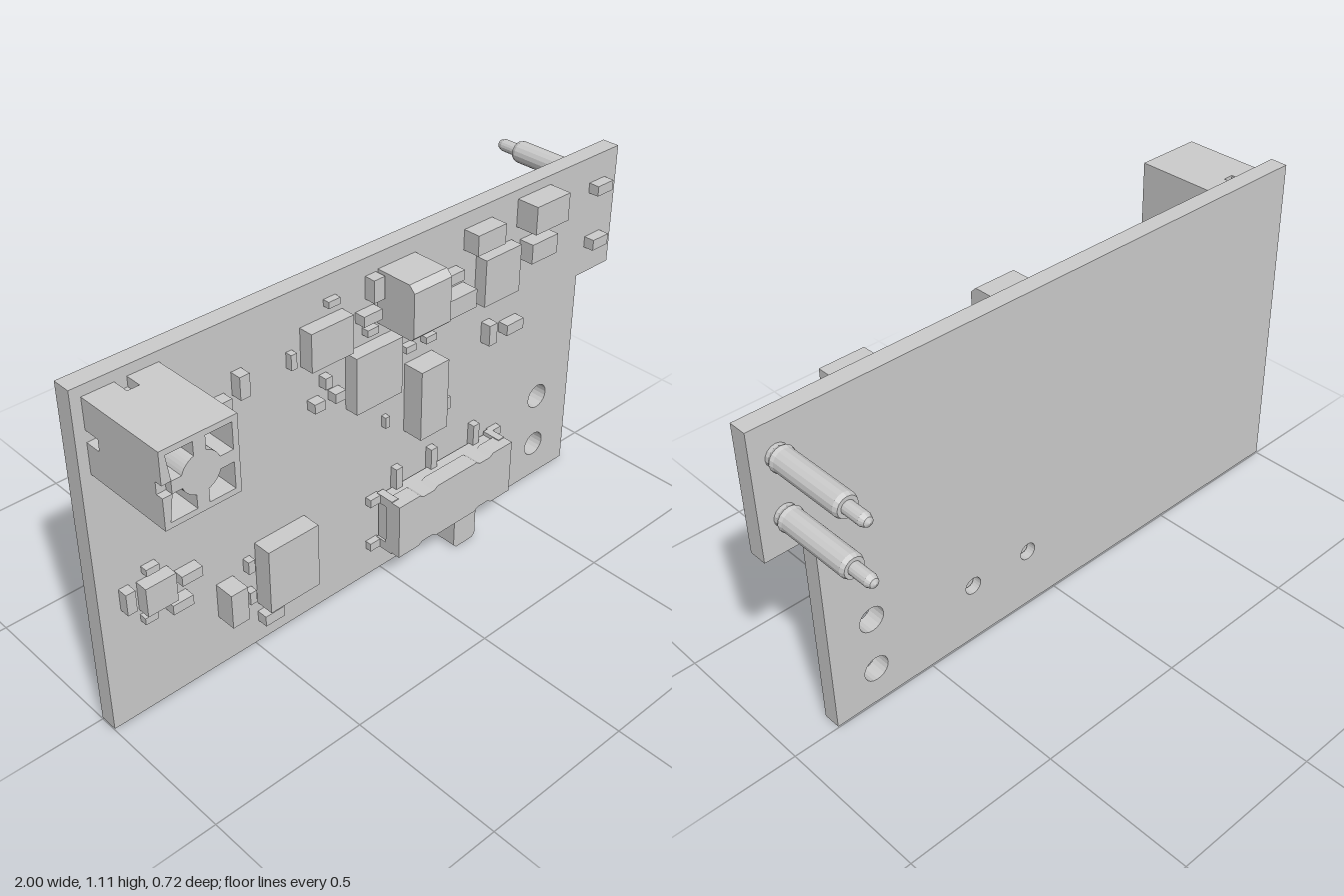
import * as THREE from 'three';

const FRONT = 0.058; // front face of the board

export function createModel() {
  const root = new THREE.Group();
  const mat = new THREE.MeshStandardMaterial({ color: 0xcccccc });
  const flat = new THREE.MeshStandardMaterial({ color: 0xcccccc, flatShading: true });

  const add = (name, geo, material = mat, parent = root) => {
    const m = new THREE.Mesh(geo, material);
    m.name = name;
    parent.add(m);
    return m;
  };
  // Box given by its x, y and z limits
  const block = (name, x0, x1, y0, y1, z1, z0 = FRONT, parent = root) => {
    const m = add(name, new THREE.BoxGeometry(x1 - x0, y1 - y0, z1 - z0), mat, parent);
    m.position.set((x0 + x1) / 2, (y0 + y1) / 2, (z0 + z1) / 2);
    return m;
  };
  const polygon = (pts) => new THREE.Shape(pts.map(([x, y]) => new THREE.Vector2(x, y)));
  const slab = (name, shape, z0, z1, parent = root) => {
    const geo = new THREE.ExtrudeGeometry(shape, { depth: z1 - z0, bevelEnabled: false, curveSegments: 10 });
    geo.translate(0, 0, z0);
    return add(name, geo, mat, parent);
  };
  const group = (name) => {
    const g = new THREE.Group();
    g.name = name;
    root.add(g);
    return g;
  };

  // Circuit board with mounting and locating holes
  const board = polygon([[-1, 0.005], [0.85, 0.005], [0.85, 0.71], [1, 0.71], [1, 1.11], [-1, 1.11]]);
  for (const [x, y, r] of [[0.7, 0.32, 0.042], [0.7, 0.13, 0.042], [0.33, 0.21, 0.029], [0.11, 0.21, 0.029]]) {
    board.holes.push(new THREE.Path().absarc(x, y, r, 0, Math.PI * 2, true));
  }
  slab('board', board, 0, FRONT);

  // Spring contact pins on the back
  const pinProfile = [[0, 0], [0.034, 0], [0.034, -0.012], [0.039, -0.022], [0.036, -0.034], [0.036, -0.262],
    [0.031, -0.275], [0.02, -0.275], [0.02, -0.335], [0.014, -0.35], [0, -0.357]];
  for (const y of [1.007, 0.822]) {
    const geo = new THREE.LatheGeometry(pinProfile.map(([r, z]) => new THREE.Vector2(r, z)).reverse(), 16);
    geo.rotateX(Math.PI / 2);
    add('contactPin', geo, flat).position.set(0.922, y, 0);
  }

  // Square socket: four corner pockets around a round core
  const socket = group('socket');
  const square = (h) => [[-h, -h], [h, -h], [h, h], [-h, h]];
  const H = 0.112, IN = 0.095, ARM = 0.018, R = 0.058;
  const shell = polygon(square(H));
  const a = Math.asin(ARM / R), c = R * Math.cos(a);
  for (let k = 0; k < 4; k++) {
    const p = [[c, ARM], [IN, ARM], [IN, IN], [ARM, IN], [ARM, c]];
    for (let i = 1; i < 6; i++) {
      const t = Math.PI / 2 - a - (i / 6) * (Math.PI / 2 - 2 * a);
      p.push([R * Math.cos(t), R * Math.sin(t)]);
    }
    const q = k * Math.PI / 2;
    shell.holes.push(new THREE.Path(p.map(([x, y]) =>
      new THREE.Vector2(x * Math.cos(q) - y * Math.sin(q), x * Math.sin(q) + y * Math.cos(q)))));
  }
  slab('socketShell', shell, 0.2, 0.335, socket);
  // Front rim, open at the middle of its outer side
  const rim = polygon([[-H, -H], [H, -H], [H, H], [-H, H], [-H, ARM], [-0.085, ARM], [-0.085, -ARM], [-H, -ARM]]);
  rim.holes = shell.holes.map((h) => new THREE.Path(h.getPoints().map((v) =>
    v.clone().set(Math.max(v.x, -0.084 - (Math.abs(v.y) > ARM + 0.001 ? 0.011 : 0)), v.y))));
  slab('socketRim', rim, 0.335, 0.358, socket);
  slab('socketBody', polygon(square(H)), 0.11, 0.2, socket);
  // Base notched in the middle of each side
  const n = H - 0.03;
  slab('socketBase', polygon([[-H, -H], [-ARM, -H], [-ARM, -n], [ARM, -n], [ARM, -H], [H, -H],
    [H, -ARM], [n, -ARM], [n, ARM], [H, ARM], [H, H], [ARM, H], [ARM, n], [-ARM, n], [-ARM, H], [-H, H],
    [-H, ARM], [-n, ARM], [-n, -ARM], [-H, -ARM]]), FRONT, 0.11, socket);
  socket.position.set(-0.857, 0.967, 0);

  // Larger chips and components: x0, x1, y0, y1, front z
  [
    [-0.30, -0.15, 0.87, 0.99, 0.105], [-0.14, 0.035, 0.66, 0.845, 0.105],
    [0.09, 0.20, 0.475, 0.71, 0.13], [0.375, 0.525, 0.80, 0.955, 0.10],
    [-0.488, -0.305, 0.15, 0.37, 0.12], [-0.88, -0.782, 0.365, 0.46, 0.10]
  ].forEach((b) => block('chip', ...b));
  [
    [0.545, 0.688, 0.99, 1.08, 0.135], [0.32, 0.435, 0.995, 1.06, 0.115],
    [0.565, 0.677, 0.877, 0.941, 0.11], [0.207, 0.323, 0.83, 0.89, 0.115],
    [-0.628, -0.57, 0.183, 0.30, 0.125]
  ].forEach((b) => block('capacitor', ...b));

  // Tall inductor with bevelled upper and lower edges
  const coil = polygon([[FRONT, 0.89], [0.19, 0.89], [0.2, 0.9], [0.2, 1.04], [0.18, 1.06], [FRONT, 1.06]]);
  const coilGeo = new THREE.ExtrudeGeometry(coil, { depth: 0.142, bevelEnabled: false });
  coilGeo.rotateY(-Math.PI / 2);
  add('inductor', coilGeo).position.x = 0.124;

  // Small parts: x, y, width, height
  const smallParts = [
    [-0.67, 0.92, 0.036, 0.07], [-0.592, 0.887, 0.065, 0.034], [-0.516, 0.92, 0.033, 0.07],
    [-0.195, 1.033, 0.042, 0.02], [-0.34, 0.912, 0.02, 0.048], [-0.224, 0.797, 0.025, 0.036],
    [-0.262, 0.738, 0.038, 0.03], [-0.187, 0.738, 0.038, 0.03], [-0.068, 0.941, 0.068, 0.033],
    [-0.056, 0.888, 0.042, 0.022], [0.107, 0.834, 0.068, 0.032], [0.093, 0.77, 0.04, 0.022],
    [0.174, 0.77, 0.042, 0.022], [-0.045, 1.02, 0.04, 0.07], [0.256, 0.94, 0.068, 0.033],
    [0.428, 0.683, 0.033, 0.07], [0.527, 0.67, 0.073, 0.036], [0.007, 0.553, 0.017, 0.037],
    [0.254, 0.508, 0.021, 0.043], [-0.92, 0.432, 0.03, 0.07], [-0.727, 0.412, 0.068, 0.033],
    [-0.84, 0.492, 0.042, 0.022], [-0.858, 0.336, 0.042, 0.022], [-0.763, 0.332, 0.068, 0.032],
    [-0.454, 0.1, 0.07, 0.036], [-0.52, 0.316, 0.023, 0.043], [-0.52, 0.204, 0.023, 0.043],
    [0.91, 1.007, 0.07, 0.033], [0.91, 0.822, 0.07, 0.036]
  ];
  for (const [x, y, w, h] of smallParts) {
    const top = FRONT + Math.min(0.036, Math.min(w, h) * 1.1);
    block('smallPart', x - w / 2, x + w / 2, y - h / 2, y + h / 2, top);
  }

  // Slide switch
  const sw = group('slideSwitch');
  block('switchBody', -0.018, 0.458, 0.125, 0.295, 0.15, 0.065, sw);
  const cover = polygon([[-0.025, 0.115], [0.06, 0.115], [0.075, 0.125], [0.12, 0.125], [0.135, 0.115],
    [0.305, 0.115], [0.32, 0.125], [0.365, 0.125], [0.38, 0.115], [0.465, 0.115], [0.465, 0.305],
    [0.38, 0.305], [0.365, 0.295], [0.32, 0.295], [0.305, 0.305], [0.135, 0.305], [0.12, 0.295],
    [0.075, 0.295], [0.06, 0.305], [-0.025, 0.305]]);
  slab('switchCover', cover, 0.105, 0.163, sw);
  for (const s of [-1, 1]) {
    for (const y of [0.125, 0.292]) {
      const x = 0.22 + s * 0.262;
      block('switchTab', x - 0.022, x + 0.022, y - 0.014, y + 0.014, 0.08, FRONT, sw);
      block('switchLeg', 0.22 + s * 0.232 - 0.013, 0.22 + s * 0.232 + 0.013, y - 0.016, y + 0.016, 0.13, 0.065, sw);
    }
  }
  for (const x of [0.052, 0.2, 0.386]) block('switchTerminal', x - 0.013, x + 0.013, 0.29, 0.368, 0.083, FRONT, sw);
  slab('switchLever', polygon([[0.23, 0.13], [0.23, 0.012], [0.242, 0], [0.313, 0], [0.325, 0.012], [0.325, 0.13]]),
    0.072, 0.15, sw);
  // Locating pegs reaching into the board
  for (const x of [0.11, 0.33]) {
    const peg = add('switchPeg', new THREE.CylinderGeometry(0.022, 0.022, 0.05, 16).rotateX(Math.PI / 2), mat, sw);
    peg.position.set(x, 0.21, 0.05);
  }
  return root;
}
